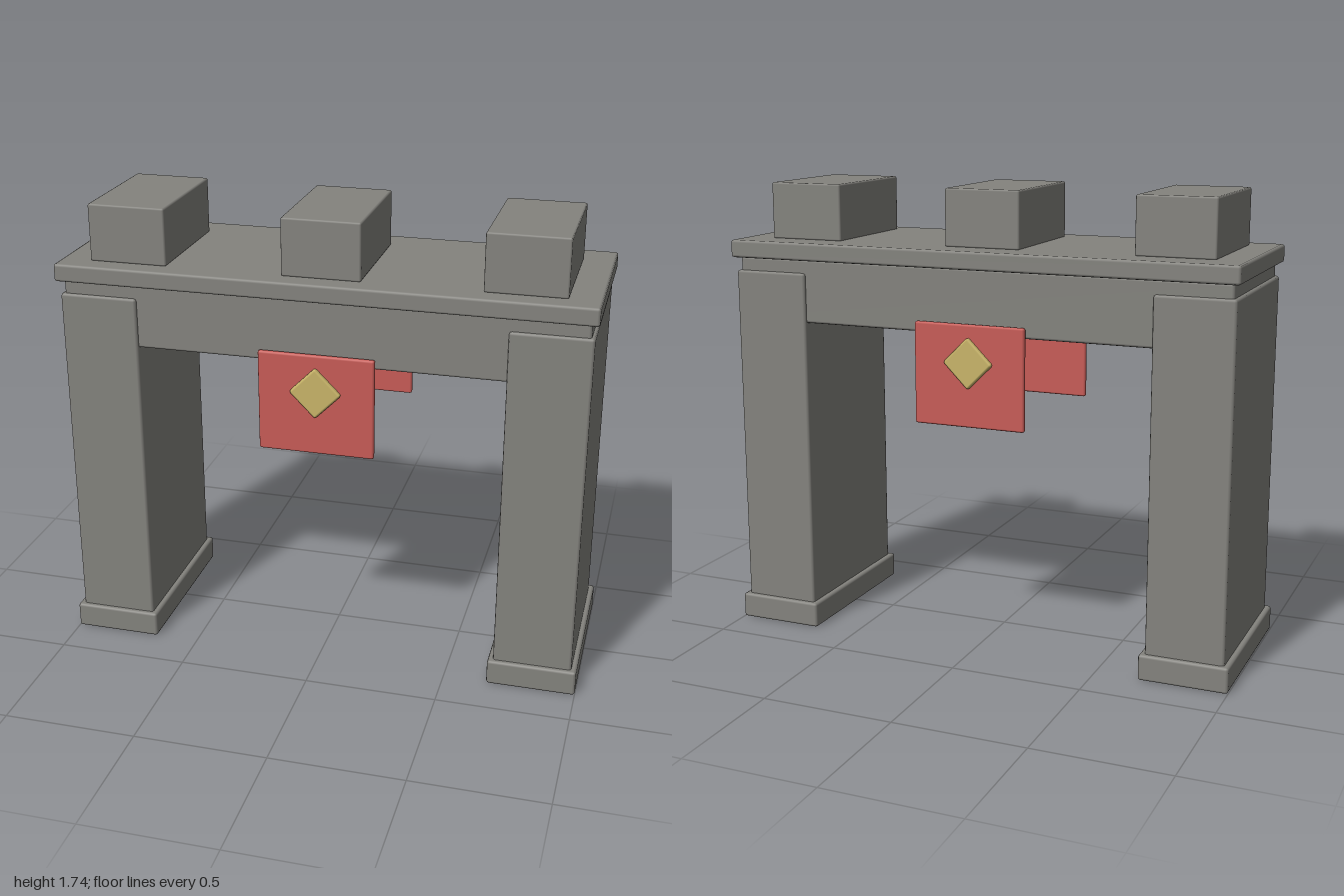
import * as THREE from 'three';
import { RoundedBoxGeometry } from 'three/addons/geometries/RoundedBoxGeometry.js';

const material = (name, color) => {
  const m = new THREE.MeshStandardMaterial({ color });
  m.name = name;
  return m;
};

export function createModel() {
  const stone = material('grey stone', 0x84837e);
  const cloth = material('red cloth', 0xc85c57);
  const gold = material('pale gold', 0xc9b569);

  const model = new THREE.Group();
  model.name = 'gateway';

  // Soft-edged block given by its low and high limits on each axis
  function block(name, mat, [x0, x1], [y0, y1], [z0, z1], bevel = 0.01) {
    const geometry = new RoundedBoxGeometry(x1 - x0, y1 - y0, z1 - z0, 1, bevel);
    const mesh = new THREE.Mesh(geometry, mat);
    mesh.name = name;
    mesh.position.set((x0 + x1) / 2, (y0 + y1) / 2, (z0 + z1) / 2);
    model.add(mesh);
    return mesh;
  }

  // Pillars on wider plinths
  for (const [side, s] of [['left', 1], ['right', -1]]) {
    const span = (a, b) => (s > 0 ? [a, b] : [-b, -a]);
    block(side + 'Plinth', stone, span(0.665, 1), [0, 0.098], [-0.343, 0.343]);
    block(side + 'Pillar', stone, span(0.685, 0.98), [0.05, 1.41], [-0.325, 0.325]);
  }

  // Lintel and projecting cap slab
  block('lintel', stone, [-0.967, 0.967], [1.22, 1.462], [-0.313, 0.313]);
  block('capSlab', stone, [-0.993, 0.993], [1.46, 1.527], [-0.343, 0.343]);

  // Battlement blocks, set slightly towards the front
  for (const x of [-0.73, 0, 0.73]) {
    block('merlon', stone, [x - 0.147, x + 0.147], [1.525, 1.74], [-0.218, 0.264], 0.007);
  }

  // Banner with a diamond badge on the front and the back
  for (const [side, s] of [['front', 1], ['back', -1]]) {
    const depth = (a, b) => (s > 0 ? [a, b] : [-b, -a]);
    block(side + 'Banner', cloth, [-0.217, 0.217], [0.88, 1.263], depth(0.318, 0.341), 0.008);
    const badge = block(side + 'Badge', gold, [-0.069, 0.069], [1.052, 1.19], depth(0.328, 0.356), 0.009);
    badge.rotation.z = Math.PI / 4;
  }

  return model;
}
